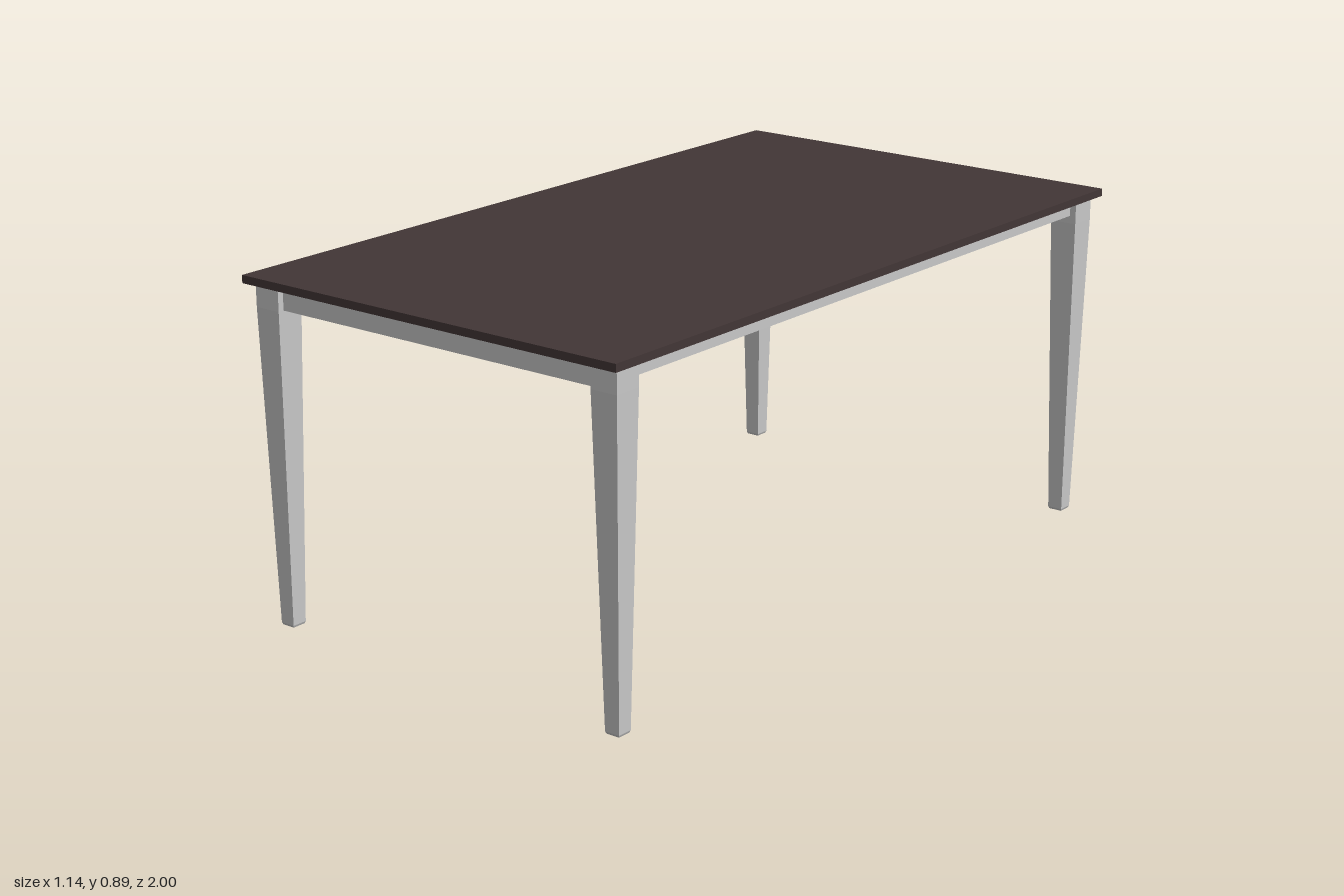
import * as THREE from 'three';

const LEG_X = 0.517, LEG_Z = 0.938, UNDERSIDE = 0.87;

function material(name, color) {
  const m = new THREE.MeshStandardMaterial({ color });
  m.name = name;
  return m;
}

// Square tapered leg: a four-sided lathe with flat faces
function legGeometry() {
  const profile = [[0, 0], [0.018, 0], [0.0205, 0.006], [0.037, 0.81], [0.037, UNDERSIDE], [0, UNDERSIDE]]
    .map(([half, y]) => new THREE.Vector2(half * Math.SQRT2, y));
  const geometry = new THREE.LatheGeometry(profile, 4, Math.PI / 4).toNonIndexed();
  geometry.computeVertexNormals();
  return geometry;
}

export function createModel() {
  const table = new THREE.Group();
  table.name = 'table';
  const darkTop = material('darkBrown', 0x423636);
  const paint = material('lightGrey', 0xc8c8c8);

  function addBox(name, w, h, d, x, y, z, mat) {
    const mesh = new THREE.Mesh(new THREE.BoxGeometry(w, h, d), mat);
    mesh.name = name;
    mesh.position.set(x, y, z);
    table.add(mesh);
  }

  // Thin slab top
  addBox('tableTop', 1.145, 0.02, 2, 0, UNDERSIDE + 0.01, 0, darkTop);

  // Four tapered legs
  const leg = legGeometry();
  for (const sx of [1, -1]) {
    for (const sz of [1, -1]) {
      const mesh = new THREE.Mesh(leg, paint);
      mesh.name = (sz > 0 ? 'front' : 'back') + (sx > 0 ? 'Left' : 'Right') + 'Leg';
      mesh.position.set(sx * LEG_X, 0, sz * LEG_Z);
      table.add(mesh);
    }
  }

  // Rails between the legs, deeper at the short ends
  for (const s of [1, -1]) {
    addBox(s > 0 ? 'frontRail' : 'backRail', 2 * LEG_X - 0.06, 0.06, 0.042,
      0, UNDERSIDE - 0.03, s * LEG_Z, paint);
    addBox(s > 0 ? 'leftRail' : 'rightRail', 0.04, 0.04, 2 * LEG_Z - 0.06,
      s * LEG_X, UNDERSIDE - 0.02, 0, paint);
  }

  return table;
}
